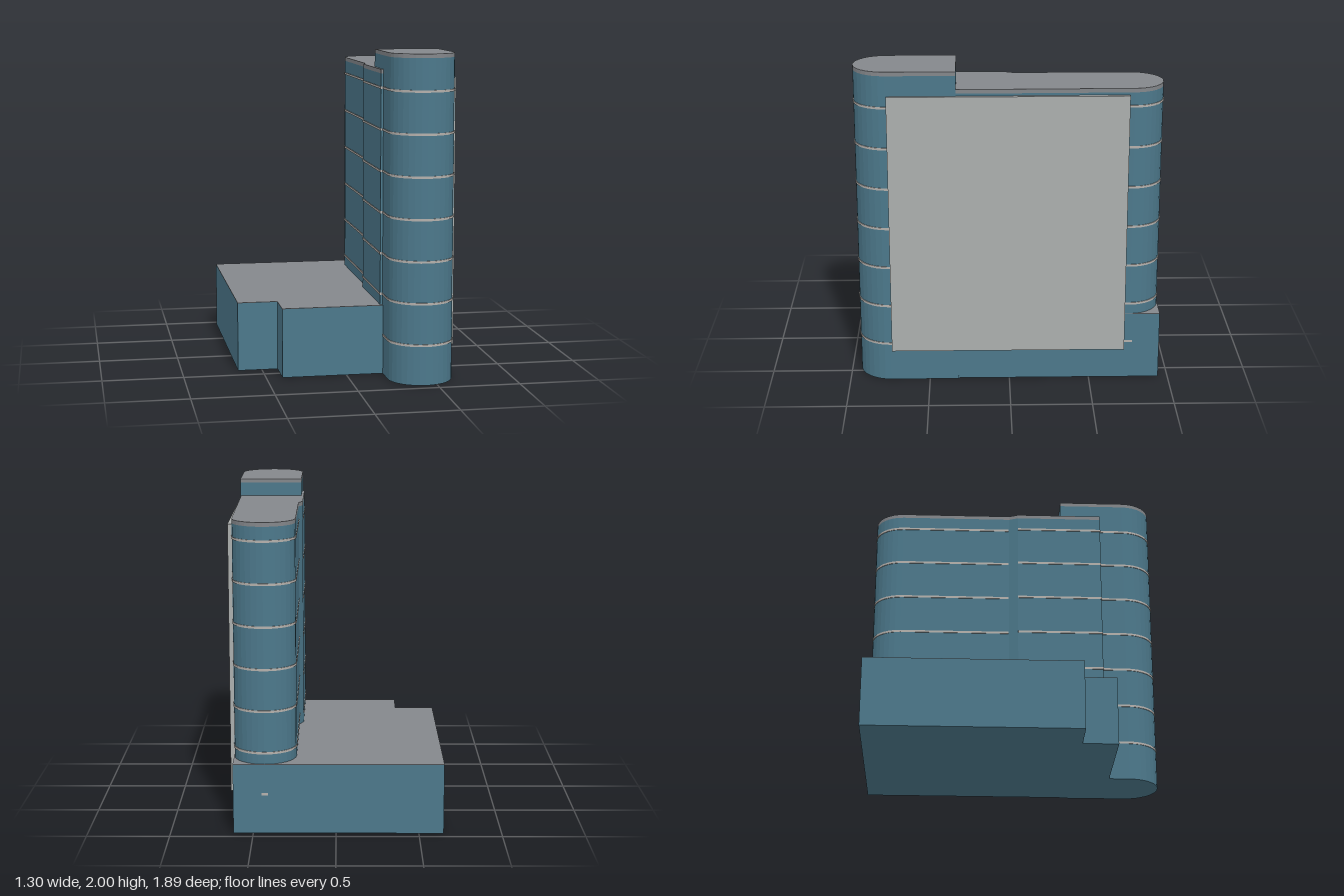
import * as THREE from 'three';

const mat = (name, color) => {
  const m = new THREE.MeshStandardMaterial({ color });
  m.name = name;
  return m;
};

// Half-round end: points sweeping from the angle a0 over 180 degrees
function arc(cx, cz, rx, rz, a0, n = 16) {
  const pts = [];
  for (let i = 0; i <= n; i++) {
    const a = a0 + (Math.PI * i) / n;
    pts.push([cx + rx * Math.cos(a), cz + rz * Math.sin(a)]);
  }
  return pts;
}

// Plan outlines as [x, z]; m grows the outline outwards
const roundBack = (m) => arc(0.429, -0.75, 0.189 + m, 0.188 + m, Math.PI);
const roundFront = (m) => arc(0.43, 0.742, 0.2 + m, 0.2 + m, 0);

const slabPlan = () => [
  ...roundBack(0), [0.626, 0.33], [0.626, 0.59],
  [0.215, 0.59], [0.215, 0.03], [0.24, -0.03],
];
const towerPlan = () => [[0.23, 0.32], [0.63, 0.32], ...roundFront(0)];
const basePlan = [
  [-0.65, -0.94], [0.62, -0.94], [0.62, 0.61],
  [-0.4, 0.61], [-0.4, 0.39], [-0.65, 0.39],
];

export function createModel() {
  const wall = mat('blue wall', 0x4c788b);
  const roof = mat('grey roof', 0x84878b);
  const panel = mat('light panel', 0xacafae);
  const band = mat('pale band', 0xb5b1ad);

  const model = new THREE.Group();
  model.name = 'building';

  // Upright prism over a plan outline, from y0 to y1
  function prism(name, plan, y0, y1, material, parent = model) {
    const shape = new THREE.Shape(plan.map(([x, z]) => new THREE.Vector2(x, -z)));
    const geo = new THREE.ExtrudeGeometry(shape, { depth: y1 - y0, bevelEnabled: false });
    geo.rotateX(-Math.PI / 2);
    const mesh = new THREE.Mesh(geo, material);
    mesh.name = name;
    mesh.position.y = y0;
    parent.add(mesh);
  }

  // Low podium
  prism('podium', basePlan, 0, 0.43, wall);
  prism('podiumRoof', basePlan, 0.43, 0.433, roof);

  // Long slab with rounded back
  prism('slab', slabPlan(), 0.01, 1.865, wall);
  prism('slabRoof', slabPlan(), 1.865, 1.89, roof);

  // Taller front tower with rounded end
  prism('frontTower', towerPlan(), 0, 1.975, wall);
  prism('frontTowerRoof', towerPlan(), 1.975, 2, roof);

  // Large blank side panel
  const side = new THREE.Mesh(new THREE.BoxGeometry(0.035, 1.65, 1.455), panel);
  side.name = 'sidePanel';
  side.position.set(0.628, 1.025, 0.008);
  model.add(side);

  // Floor bands around the slab and tower, interrupted at the jog
  const m = 0.004;
  const bands = new THREE.Group();
  bands.name = 'floorBands';
  model.add(bands);
  for (let i = 0; i < 7; i++) {
    const y = 0.246 + i * 0.2555;
    const span = [y - 0.007, y + 0.007, band, bands];
    prism('backBand', [...roundBack(m), [0.622, -0.035], [0.236, -0.035]], ...span);
    prism('middleBand', [[0.211, 0.03], [0.5, 0.03], [0.5, 0.592], [0.211, 0.592]], ...span);
    prism('frontBand', [[0.226, 0.55], [0.634, 0.55], ...roundFront(m)], ...span);
  }

  return model;
}
